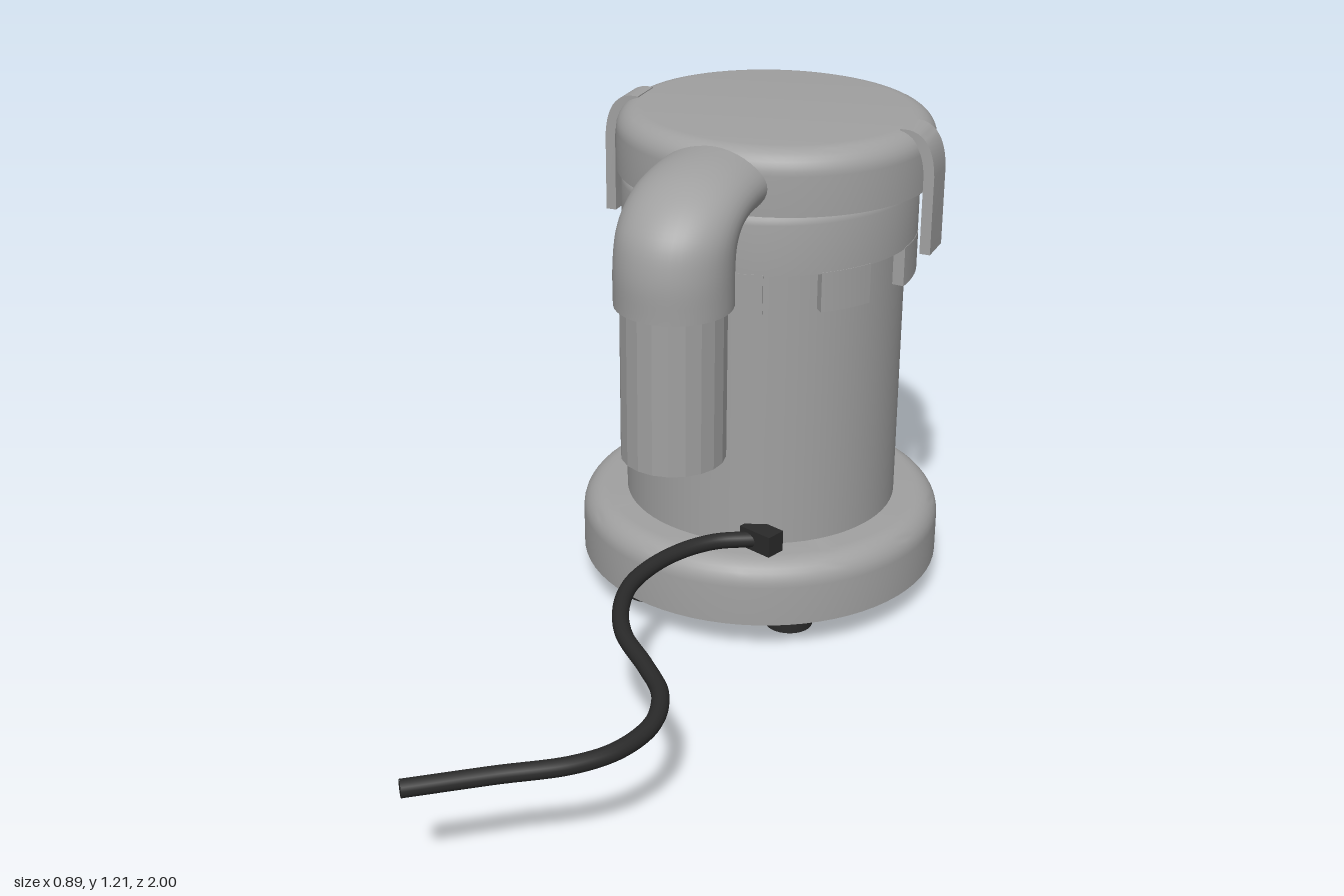
import * as THREE from 'three';
import { toCreasedNormals } from 'three/addons/utils/BufferGeometryUtils.js';

const CZ = -0.557; // axis of the housing

function material(name, color, side = THREE.FrontSide) {
  const m = new THREE.MeshStandardMaterial({ color, side });
  m.name = name;
  return m;
}

// Points of a quarter-round edge from the side wall up to the flat top
function fillet(radius, top, size, steps = 8) {
  return Array.from({ length: steps + 1 }, (_, i) => {
    const a = (i / steps) * Math.PI / 2;
    return [radius - size + size * Math.cos(a), top - size + size * Math.sin(a)];
  });
}

function lathe(points) {
  const g = new THREE.LatheGeometry(points.map(p => new THREE.Vector2(...p)), 72);
  return toCreasedNormals(g, 0.6);
}

export function createModel() {
  const group = new THREE.Group();
  const grey = material('grey plastic', 0xa0a0a0);
  const black = material('black rubber', 0x2a2a2a);
  const maroon = material('maroon label', 0x341c1c, THREE.DoubleSide);
  const green = material('green label stripe', 0x0c5a14, THREE.DoubleSide);

  const add = (name, geometry, mat, x = 0, y = 0, z = 0) => {
    const mesh = new THREE.Mesh(geometry, mat);
    mesh.name = name;
    mesh.position.set(x, y, z);
    group.add(mesh);
    return mesh;
  };

  // Hollow base and its feet
  add('base', lathe([
    [0, 0.2], [0.38, 0.2], [0.405, 0.175], [0.415, 0.14], [0.42, 0.077], [0.443, 0.077],
    ...fillet(0.443, 0.237, 0.06), [0, 0.237],
  ]), grey, 0, 0, CZ);
  for (const x of [-0.198, 0.173])
    for (const z of [-0.313, -0.797])
      add('foot', new THREE.CylinderGeometry(0.058, 0.058, 0.2, 28), black, x, 0.1, z);

  // Housing, collar and lid
  add('housing', new THREE.CylinderGeometry(0.333, 0.333, 0.8, 72), grey, 0, 0.62, CZ);
  add('collar', lathe([
    [0.32, 0.922], [0.35, 0.922], ...fillet(0.35, 1.07, 0.03, 4), [0.2, 1.07],
  ]), grey, 0.01, 0, CZ);
  add('lid', lathe([
    [0.2, 1.062], [0.35, 1.062], ...fillet(0.35, 1.21, 0.055), [0, 1.21],
  ]), grey, 0.02, 0, CZ).scale.x = 1.07;

  // Teeth hanging below the collar
  const half = 0.185;
  const arc = new THREE.Shape();
  arc.absarc(0, 0, 0.351, -half, half, false);
  arc.absarc(0, 0, 0.315, half, -half, true);
  const toothGeometry = toCreasedNormals(
    new THREE.ExtrudeGeometry(arc, { depth: 0.095, bevelEnabled: false, curveSegments: 6 }), 0.6);
  toothGeometry.rotateX(-Math.PI / 2);
  for (let i = -3; i <= 4; i++) {
    const tooth = add('collarTooth', toothGeometry, grey, 0.01, 0.83, CZ);
    tooth.rotation.y = -THREE.MathUtils.degToRad(-4 + i * 43);
  }

  // Clips on both sides of the lid
  const hook = new THREE.Shape();
  hook.moveTo(0.32, 1.212);
  hook.lineTo(0.34, 1.212);
  hook.quadraticCurveTo(0.4, 1.205, 0.405, 1.11);
  hook.lineTo(0.405, 0.925);
  hook.lineTo(0.38, 0.925);
  hook.lineTo(0.38, 1.11);
  hook.quadraticCurveTo(0.375, 1.18, 0.34, 1.19);
  hook.lineTo(0.32, 1.19);
  const clipGeometry = new THREE.ExtrudeGeometry(hook, { depth: 0.088, bevelEnabled: false, curveSegments: 10 });
  clipGeometry.translate(0, 0, -0.044);
  const clips = toCreasedNormals(clipGeometry, 0.6);
  for (const turn of [0, Math.PI])
    add('clip', clips, grey, 0.02, 0, -0.535).rotation.y = turn;

  // Outlet elbow: oval sections between an inner and an outer curve
  const curve = pts => new THREE.CatmullRomCurve3(pts.map(([z, y]) => new THREE.Vector3(0, y, z)));
  const inner = curve([[-0.145, 0.915], [-0.145, 0.99], [-0.148, 1.03], [-0.158, 1.046],
    [-0.175, 1.05], [-0.2, 1.05], [-0.29, 1.05]]);
  const outer = curve([[0.115, 0.915], [0.115, 1.01], [0.095, 1.085], [0.045, 1.14],
    [-0.03, 1.18], [-0.13, 1.2], [-0.29, 1.203]]);
  const rows = 30, sides = 40, positions = [], index = [];
  for (let i = 0; i <= rows; i++) {
    const a = inner.getPoint(i / rows), b = outer.getPoint(i / rows);
    const mid = a.clone().add(b).multiplyScalar(0.5);
    const arm = b.sub(a).multiplyScalar(0.5);
    for (let j = 0; j < sides; j++) {
      const t = (j / sides) * Math.PI * 2;
      positions.push(0.132 * Math.cos(t), mid.y + arm.y * Math.sin(t), mid.z + arm.z * Math.sin(t));
      if (i === rows) continue;
      const k = i * sides + j, n = i * sides + (j + 1) % sides;
      index.push(k, k + sides, n, n, k + sides, n + sides);
    }
  }
  const elbow = new THREE.BufferGeometry();
  elbow.setAttribute('position', new THREE.Float32BufferAttribute(positions, 3));
  elbow.setIndex(index);
  elbow.computeVertexNormals();
  add('outletElbow', elbow, grey, -0.003);
  add('elbowRim', new THREE.CircleGeometry(0.131, 40), grey, -0.003, 0.915, -0.015).rotation.x = Math.PI / 2;

  // Faceted outlet pipe
  add('outletPipe', toCreasedNormals(new THREE.CylinderGeometry(0.118, 0.118, 0.38, 20), 0.2),
    grey, -0.003, 0.745, -0.013);

  // Curved label with a stripe below; angles run from the back right round to the front
  const start = Math.PI * 1.5 - THREE.MathUtils.degToRad(45);
  const sweep = THREE.MathUtils.degToRad(76);
  const plate = (name, y0, y1, mat) => add(name,
    new THREE.CylinderGeometry(0.3355, 0.3355, y1 - y0, 24, 1, true, start, sweep),
    mat, 0, (y0 + y1) / 2, CZ);
  plate('label', 0.497, 0.605, maroon);
  plate('labelStripe', 0.475, 0.497, green);

  // Power cable with its grommet and end cap
  const path = new THREE.CatmullRomCurve3([
    [0.12, -0.225], [0.03, -0.17], [-0.035, -0.07], [-0.064, 0.07], [-0.045, 0.18], [0.01, 0.29],
    [0.11, 0.395], [0.18, 0.48], [0.21, 0.59], [0.185, 0.7], [0.125, 0.78], [0, 0.872], [-0.145, 0.983],
  ].map(([x, z]) => new THREE.Vector3(x, 0.26, z)));
  add('cable', new THREE.TubeGeometry(path, 120, 0.019, 14), black);
  const tip = path.getPoint(1);
  const cap = add('cableEnd', new THREE.CircleGeometry(0.019, 14), black, tip.x, tip.y, tip.z);
  cap.lookAt(tip.clone().add(path.getTangent(1)));
  add('cableGrommet', new THREE.BoxGeometry(0.09, 0.052, 0.05), black, 0.13, 0.263, -0.228).rotation.y = -0.35;

  return group;
}
